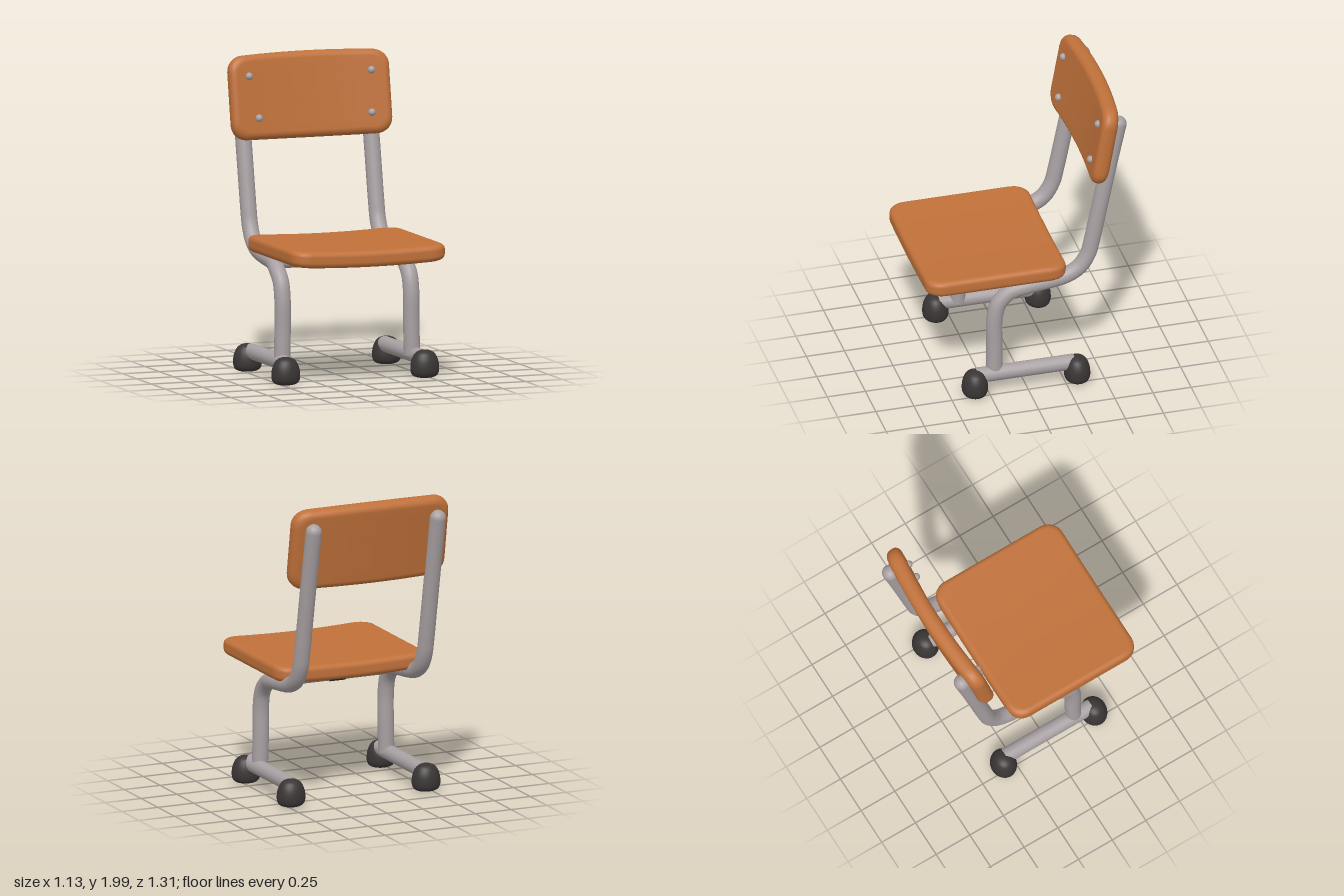
import * as THREE from 'three';

const wood = new THREE.MeshStandardMaterial({ color: 0xc0713a });
wood.name = 'orange wood';
const metal = new THREE.MeshStandardMaterial({ color: 0xa8a0a2 });
metal.name = 'grey metal';
const rubber = new THREE.MeshStandardMaterial({ color: 0x3a3535 });
rubber.name = 'dark rubber';

const V = (x, y, z) => new THREE.Vector3(x, y, z);

// Rounded, softly bevelled board in the XY plane; its middle is bent towards -z
function board({ w, h, t, radius, bevel, bend, crown = 0 }) {
  const a = w / 2, b = h / 2, r = radius;
  const shape = new THREE.Shape();
  shape.moveTo(a, -b + r);
  shape.lineTo(a, b - r).absarc(a - r, b - r, r, 0, Math.PI / 2);
  shape.lineTo(-a + r, b).absarc(-a + r, b - r, r, Math.PI / 2, Math.PI);
  shape.lineTo(-a, -b + r).absarc(-a + r, -b + r, r, Math.PI, Math.PI * 1.5);
  shape.lineTo(a - r, -b).absarc(a - r, -b + r, r, Math.PI * 1.5, Math.PI * 2);
  const n = 128;
  const outline = shape.getSpacedPoints(n).slice(0, n);

  // rings: [inset from the edge, z], centre of front face to centre of back face
  const full = Math.min(a, b);
  const front = [1, 0.75, 0.5, 0.25].map((k) => [bevel + (full - bevel) * k, t / 2]);
  for (let i = 0; i <= 6; i++) {
    const q = (i / 6) * Math.PI / 2;
    front.push([bevel * (1 - Math.sin(q)), t / 2 - bevel * (1 - Math.cos(q))]);
  }
  const rings = [...front, ...front.slice().reverse().map(([i, z]) => [i, -z])];

  const pos = [], index = [];
  rings.forEach(([inset, z], i) => {
    // faces shrink evenly to the centre, bevels keep an even width
    const s = inset > bevel ? (full - inset) / (full - bevel) : 1;
    const d = Math.min(inset, bevel);
    outline.forEach((p, j) => {
      const x = p.x * (1 - d / a) * s;
      const y = p.y * (1 - d / b) * s;
      const k = (x / a) ** 2;
      pos.push(x, y - crown * k * Math.max(0, y / b), z - bend * (1 - k));
      if (i === 0) return;
      const j2 = (j + 1) % n, p0 = (i - 1) * n, p1 = i * n;
      index.push(p0 + j, p1 + j, p1 + j2, p0 + j, p1 + j2, p0 + j2);
    });
  });
  const g = new THREE.BufferGeometry();
  g.setAttribute('position', new THREE.Float32BufferAttribute(pos, 3));
  g.setIndex(index);
  g.computeVertexNormals();
  return g;
}

export function createModel() {
  const model = new THREE.Group();
  model.name = 'chair';
  const add = (name, geometry, material, x = 0, y = 0, z = 0, parent = model) => {
    const mesh = new THREE.Mesh(geometry, material);
    mesh.name = name;
    mesh.position.set(x, y, z);
    parent.add(mesh);
    return mesh;
  };

  // Seat and backrest
  const seat = add('seat', board({ w: 1.04, h: 0.92, t: 0.105, radius: 0.1, bevel: 0.035, bend: 0.017 }),
    wood, 0, 0.837, 0.195);
  seat.rotation.x = -Math.PI / 2;
  const back = add('backrest', board({ w: 1.085, h: 0.55, t: 0.107, radius: 0.1, bevel: 0.045, bend: 0.035, crown: 0.02 }),
    wood, 0.018, 1.727, -0.497);
  back.rotation.x = -0.175;

  // Screws on the backrest
  const screw = new THREE.SphereGeometry(0.024, 16, 12);
  [[-0.4, 1.86, -0.478], [0.43, 1.86, -0.478], [-0.35, 1.595, -0.432], [0.415, 1.595, -0.432]]
    .forEach((p) => add('screw', screw, metal, ...p));

  // Domed rubber foot profile
  const foot = new THREE.LatheGeometry(new THREE.SplineCurve([
    [0, 0], [0.05, 0.003], [0.08, 0.02], [0.09, 0.055], [0.084, 0.11], [0.062, 0.155], [0.03, 0.174], [0, 0.178],
  ].map(([x, y]) => new THREE.Vector2(x, y))).getPoints(28), 32);

  // Side frames: bent tube from backrest to floor rail
  const R = 0.052;
  const frame = (name, side, topX, legX, footX) => {
    const group = new THREE.Group();
    group.name = name;
    model.add(group);
    const path = new THREE.CatmullRomCurve3([
      V(topX, 1.85, -0.607), V(topX, 1.55, -0.542), V(topX, 1.25, -0.481), V(topX, 1.03, -0.436),
      V(topX, 0.92, -0.408), V(topX, 0.83, -0.352), V(topX, 0.777, -0.26), V(topX, 0.755, -0.14),
      V(topX, 0.737, 0), V(legX, 0.705, 0.105), V(legX, 0.635, 0.175), V(legX, 0.53, 0.203),
      V(legX, 0.33, 0.205), V(legX + side * 0.005, 0.13, 0.207),
    ]);
    add('bentTube', new THREE.TubeGeometry(path, 120, R, 20), metal, 0, 0, 0, group);
    add('tubeEnd', new THREE.SphereGeometry(R, 20, 14), metal, topX, 1.85, -0.607, group);
    const rail = add('floorRail', new THREE.CylinderGeometry(0.05, 0.05, 0.64, 20), metal,
      (legX + footX) / 2, 0.13, 0.01, group);
    rail.rotation.x = Math.PI / 2;
    add('frontFoot', foot, rubber, footX, 0, 0.343, group).scale.set(1.03, 1, 0.92);
    add('rearFoot', foot, rubber, footX, 0, -0.328, group).scale.set(1.03, 1, 0.92);
  };
  frame('rightFrame', -1, -0.422, -0.438, -0.47);
  frame('leftFrame', 1, 0.445, 0.435, 0.473);

  // Crossbar under the seat with a dark sleeve
  add('crossbar', new THREE.CylinderGeometry(0.037, 0.037, 0.86, 20), metal, 0.01, 0.733, 0.01)
    .rotation.z = Math.PI / 2;
  add('crossbarSleeve', new THREE.CylinderGeometry(0.042, 0.042, 0.105, 20), rubber, -0.003, 0.733, 0.01)
    .rotation.z = Math.PI / 2;

  return model;
}
